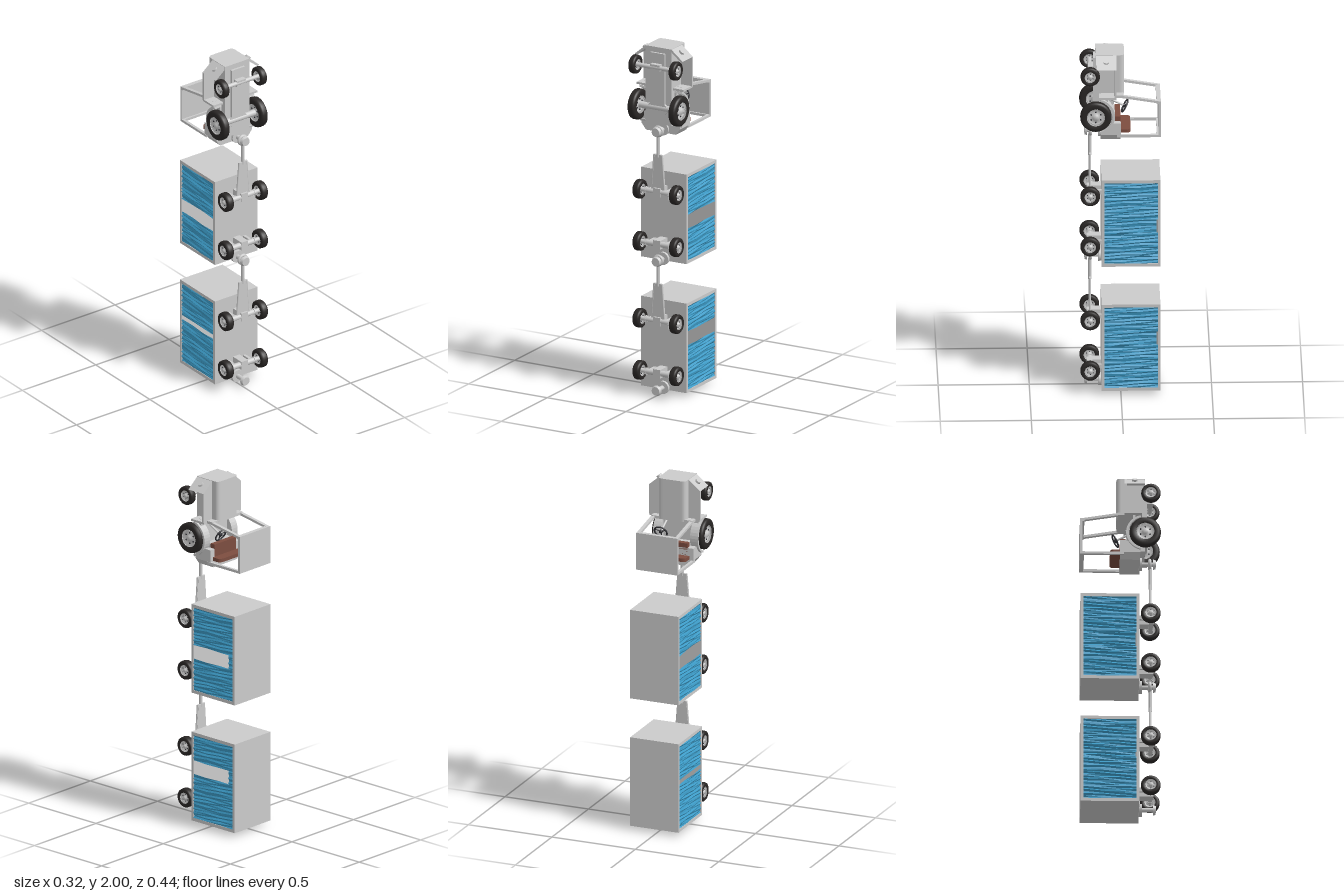
import * as THREE from 'three';

const mat = (color, extra = {}) => new THREE.MeshStandardMaterial({ color, ...extra });
const grey = mat(0xcccccc);
const rubber = mat(0x2a2726);
const leather = mat(0x7d4d40);
const dark = mat(0x333338);
const cloth = mat(0x3d9cc8, { flatShading: true, side: THREE.DoubleSide });

function add(parent, name, geo, material = grey) {
  const m = new THREE.Mesh(geo, material);
  m.name = name;
  parent.add(m);
  return m;
}
function box(parent, name, [x0, x1], [y0, y1], [z0, z1], material) {
  const g = new THREE.BoxGeometry(x1 - x0, y1 - y0, z1 - z0);
  g.translate((x0 + x1) / 2, (y0 + y1) / 2, (z0 + z1) / 2);
  return add(parent, name, g, material);
}
// Cylinder between two points
function rod(parent, name, a, b, r, material, r2 = r) {
  const p = new THREE.Vector3(...a), q = new THREE.Vector3(...b);
  const m = add(parent, name, new THREE.CylinderGeometry(r2, r, p.distanceTo(q), 20), material);
  m.position.copy(p).lerp(q, 0.5);
  m.quaternion.setFromUnitVectors(new THREE.Vector3(0, 1, 0), q.sub(p).normalize());
  return m;
}
const poly = pts => new THREE.Shape(pts.map(p => new THREE.Vector2(...p)));
const extrude = (shape, depth) =>
  new THREE.ExtrudeGeometry(shape, { depth, bevelEnabled: false, curveSegments: 8 });
// Outline (x, y) extruded along z
const slab = (pts, z0, z1) => extrude(poly(pts), z1 - z0).translate(0, 0, z0);
// Outline (-z, y) extruded along x
const profile = (shape, x0, x1) => extrude(shape, x1 - x0).rotateY(Math.PI / 2).translate(x0, 0, 0);

// The vehicles drive towards +y, with their roofs towards -z
function wheel(parent, name, x, y, z, r, w) {
  const g = new THREE.Group();
  g.name = name;
  const h = w / 2, lathe = pts =>
    new THREE.LatheGeometry(pts.map(p => new THREE.Vector2(...p)), 32).rotateZ(-Math.PI / 2);
  add(g, 'tyre', lathe([[r * 0.56, -h * 0.7], [r * 0.62, -h], [r * 0.86, -h], [r * 0.97, -h * 0.75], [r, -h * 0.4],
    [r, h * 0.4], [r * 0.97, h * 0.75], [r * 0.86, h], [r * 0.62, h], [r * 0.56, h * 0.7]]), rubber);
  add(g, 'rim', lathe([[0, -h * 0.9], [r * 0.18, -h * 0.9], [r * 0.22, -h * 0.4], [r * 0.48, -h * 0.4], [r * 0.58, -h * 0.85],
    [r * 0.58, h * 0.85], [r * 0.48, h * 0.4], [r * 0.22, h * 0.4], [r * 0.18, h * 0.9], [0, h * 0.9]]));
  for (const s of [-1, 1]) for (let i = 0; i < 6; i++) {
    const a = i * Math.PI / 3;
    const c = [Math.cos(a) * r * 0.35, Math.sin(a) * r * 0.35];
    rod(g, 'wheelNut', [s * h * 0.35, ...c], [s * h * 0.55, ...c], r * 0.05, dark);
  }
  g.position.set(x, y, z);
  parent.add(g);
}

// Coupling pin at the tail of a vehicle
function hitch(parent, y) {
  const g = new THREE.Group();
  g.name = 'hitch';
  rod(g, 'hitchFlange', [0, y, 0.105], [0, y, 0.122], 0.036);
  rod(g, 'hitchPin', [0, y, 0.12], [0, y, 0.19], 0.013);
  rod(g, 'hitchHead', [0, y, 0.183], [0, y, 0.198], 0.03, grey, 0.024);
  parent.add(g);
}

// Pleated curtain panel with irregular folds
function curtain(parent, side, y0, y1, seed) {
  const rows = Math.round((y1 - y0) / 0.009);
  const g = new THREE.PlaneGeometry(0.292, y1 - y0, 3, rows).rotateY(Math.PI / 2);
  const p = g.attributes.position;
  for (let i = 0; i < p.count; i++) {
    const row = Math.floor(i / 4), col = i % 4;
    p.setX(i, 0.0045 * Math.sin(row * 2.3 + seed + 1.7 * Math.sin(col * 2.1 + row * 0.35)));
  }
  g.computeVertexNormals();
  add(parent, 'curtain', g, cloth).position.set(side * 0.1415, (y0 + y1) / 2, -0.056);
}

// panels: [side, y0, y1] curtain spans, measured from the cart's tail
function cart(parent, name, y, panels) {
  const g = new THREE.Group();
  g.name = name;
  const W = [-0.145, 0.145];
  box(g, 'floor', W, [0, 0.515], [0.09, 0.106]);
  box(g, 'roof', W, [0, 0.515], [-0.217, -0.202]);
  box(g, 'rearWall', W, [0, 0.018], [-0.202, 0.09]);
  box(g, 'frontWall', W, [0.497, 0.515], [-0.202, 0.09]);
  panels.forEach(([side, a, b], i) => curtain(g, side, a, b, i * 1.3));
  // Axles with their mounts
  for (const ay of [0.11, 0.41]) {
    rod(g, 'axle', [-0.11, ay, 0.168], [0.11, ay, 0.168], 0.012);
    box(g, 'axleMount', [-0.022, 0.022], [ay - 0.024, ay + 0.024], [0.104, 0.185]);
    for (const s of [-1, 1]) {
      rod(g, 'axleFlange', [s * 0.07, ay, 0.168], [s * 0.077, ay, 0.168], 0.02);
      rod(g, 'axleSleeve', [s * 0.02, ay, 0.168], [s * 0.07, ay, 0.168], 0.016);
      box(g, 'axleBracket', [s * 0.055 - 0.008, s * 0.055 + 0.008], [ay - 0.012, ay + 0.012], [0.104, 0.165]);
      wheel(g, 'cartWheel', s * 0.116, ay, 0.168, 0.054, 0.042);
    }
  }
  // Tapered drawbar ending in an eye around the pin ahead
  add(g, 'drawbar', slab([[-0.044, 0.4], [0.044, 0.4], [0.026, 0.625], [-0.026, 0.625]], 0.161, 0.173));
  box(g, 'drawbarCrossbar', [-0.075, 0.075], [0.375, 0.402], [0.16, 0.182]);
  for (const s of [-1, 1])
    rod(g, 'drawbarEdge', [s * 0.042, 0.4, 0.168], [s * 0.024, 0.625, 0.168], 0.006);
  rod(g, 'drawbarRod', [0, 0.61, 0.168], [0, 0.735, 0.168], 0.0095);
  add(g, 'drawbarEye', new THREE.TorusGeometry(0.024, 0.009, 12, 28)).position.set(0, 0.758, 0.165);
  hitch(g, 0.013);
  g.position.set(0.0105, y, 0);
  parent.add(g);
}

function tractor(parent) {
  const g = new THREE.Group();
  g.name = 'tractor';
  // Hood with rounded upper edges
  const hood = new THREE.Shape();
  hood.moveTo(-0.083, -0.137);
  hood.lineTo(0.083, -0.137);
  hood.lineTo(0.083, -0.006);
  hood.quadraticCurveTo(0.083, 0.02, 0.055, 0.02);
  hood.lineTo(-0.055, 0.02);
  hood.quadraticCurveTo(-0.083, 0.02, -0.083, -0.006);
  add(g, 'hood', extrude(hood, 0.235).rotateX(-Math.PI / 2).translate(0, 1.765, 0));
  // Chassis and rear body
  box(g, 'chassis', [-0.083, 0.083], [1.56, 1.77], [0.08, 0.137]);
  box(g, 'cabFloor', [-0.122, 0.122], [1.58, 1.775], [0.07, 0.085]);
  add(g, 'rearBody', slab([[-0.122, 1.61], [-0.122, 1.54], [-0.095, 1.505], [0.095, 1.505], [0.122, 1.54], [0.122, 1.61]], 0.0, 0.11));
  add(g, 'transmission', slab([[-0.045, 1.97], [-0.045, 1.68], [-0.075, 1.65], [-0.045, 1.62],
    [0.045, 1.62], [0.075, 1.65], [0.045, 1.68], [0.045, 1.97]], 0.13, 0.15));
  rod(g, 'frontAxle', [-0.12, 1.893, 0.168], [0.12, 1.893, 0.168], 0.012);
  box(g, 'frontAxleMount', [-0.03, 0.03], [1.875, 1.911], [0.13, 0.178]);
  rod(g, 'rearAxle', [-0.13, 1.655, 0.137], [0.13, 1.655, 0.137], 0.018);

  for (const s of [-1, 1]) {
    const side = new THREE.Group();
    side.name = s > 0 ? 'leftSide' : 'rightSide';
    // Front fender: top plate, slanted headlight panel, headlight
    add(side, 'frontFender', slab([[0.08, 1.77], [0.153, 1.77], [0.153, 1.94], [0.08, 2.0]], 0.024, 0.036));
    add(side, 'headlightPanel', slab([[0.08, 2.0], [0.08, 1.985], [0.141, 1.934], [0.153, 1.94]], 0.036, 0.135));
    const n = [0.06 * 0.13, 0.073 * 0.13];
    rod(side, 'headlight', [0.112, 1.972, 0.08], [0.112 + n[0], 1.972 + n[1], 0.08], 0.016);
    box(side, 'footStep', [0.08, 0.15], [1.762, 1.774], [0.024, 0.12]);
    // Arched rear fender on the inner side of the wheel
    const arch = new THREE.Shape();
    arch.absarc(-0.137, 1.655, 0.105, -Math.PI * 0.42, Math.PI * 0.42, false);
    arch.absarc(-0.137, 1.655, 0.093, Math.PI * 0.42, -Math.PI * 0.42, true);
    add(side, 'rearFender', profile(arch, 0.088, 0.135));
    const wall = new THREE.Shape();
    wall.absarc(-0.137, 1.655, 0.105, -Math.PI * 0.42, Math.PI * 0.42, false);
    add(side, 'rearFenderWall', profile(wall, 0.088, 0.098));
    wheel(side, 'frontWheel', 0.128, 1.893, 0.168, 0.053, 0.038);
    wheel(side, 'rearWheel', 0.13, 1.655, 0.137, 0.086, 0.046);
    // Cab posts: slanted at the front, upright at the rear
    add(side, 'frontPost', profile(poly([[0.0, 1.762], [0.0, 1.776], [0.212, 1.74], [0.212, 1.727]]), 0.104, 0.124));
    box(side, 'rearPost', [0.108, 0.124], [1.526, 1.54], [-0.208, 0.02]);
    side.scale.x = s;
    g.add(side);
  }
  // Cab frame and roof
  box(g, 'windscreenSill', [-0.124, 0.124], [1.762, 1.777], [-0.015, 0.03]);
  box(g, 'windscreenHeader', [-0.124, 0.124], [1.724, 1.74], [-0.212, -0.196]);
  box(g, 'rearHeader', [-0.124, 0.124], [1.526, 1.54], [-0.212, -0.198]);
  box(g, 'roof', [-0.124, 0.124], [1.526, 1.74], [-0.22, -0.208]);
  // Bench seat with rounded corners
  const back = new THREE.Shape();
  back.moveTo(-0.098, -0.03);
  back.lineTo(0.102, -0.03);
  back.lineTo(0.102, 0.035);
  back.quadraticCurveTo(0.098, 0.054, 0.07, 0.055);
  back.lineTo(-0.07, 0.055);
  back.quadraticCurveTo(-0.096, 0.054, -0.098, 0.035);
  add(g, 'seatBack', extrude(back, 0.02).rotateX(-Math.PI / 2).translate(0, 1.545, 0), leather);
  box(g, 'seatCushion', [-0.087, 0.087], [1.56, 1.635], [0.0, 0.03], leather);
  box(g, 'seatBase', [-0.087, 0.087], [1.56, 1.63], [0.03, 0.08]);
  // Steering wheel
  const axis = new THREE.Vector3(0, -0.47, -0.88).normalize();
  const sw = new THREE.Group();
  sw.name = 'steeringWheel';
  add(sw, 'steeringRim', new THREE.TorusGeometry(0.037, 0.0045, 10, 32), dark);
  for (let i = 0; i < 3; i++) {
    const a = Math.PI / 2 + i * Math.PI * 2 / 3;
    rod(sw, 'steeringSpoke', [0, 0, -0.004], [0.036 * Math.cos(a), 0.036 * Math.sin(a), 0], 0.003, dark);
  }
  rod(sw, 'steeringHub', [0, 0, -0.01], [0, 0, 0.004], 0.01, dark);
  rod(sw, 'steeringColumn', [0, 0, -0.09], [0, 0, -0.008], 0.006);
  sw.position.set(0.063, 1.69, -0.023);
  sw.quaternion.setFromUnitVectors(new THREE.Vector3(0, 0, 1), axis);
  g.add(sw);
  const tail = new THREE.Group();
  tail.position.x = 0.0165;
  hitch(tail, 1.528);
  g.add(tail);
  g.position.x = -0.006;
  parent.add(g);
}

export function createModel() {
  const model = new THREE.Group();
  model.name = 'baggageTrain';
  tractor(model);
  cart(model, 'frontCart', 0.77, [[1, 0.018, 0.2], [1, 0.28, 0.497], [-1, 0.018, 0.2], [-1, 0.28, 0.497]]);
  cart(model, 'rearCart', 0.028, [[1, 0.018, 0.272], [1, 0.35, 0.497], [-1, 0.018, 0.272], [-1, 0.3, 0.497]]);
  return model;
}
